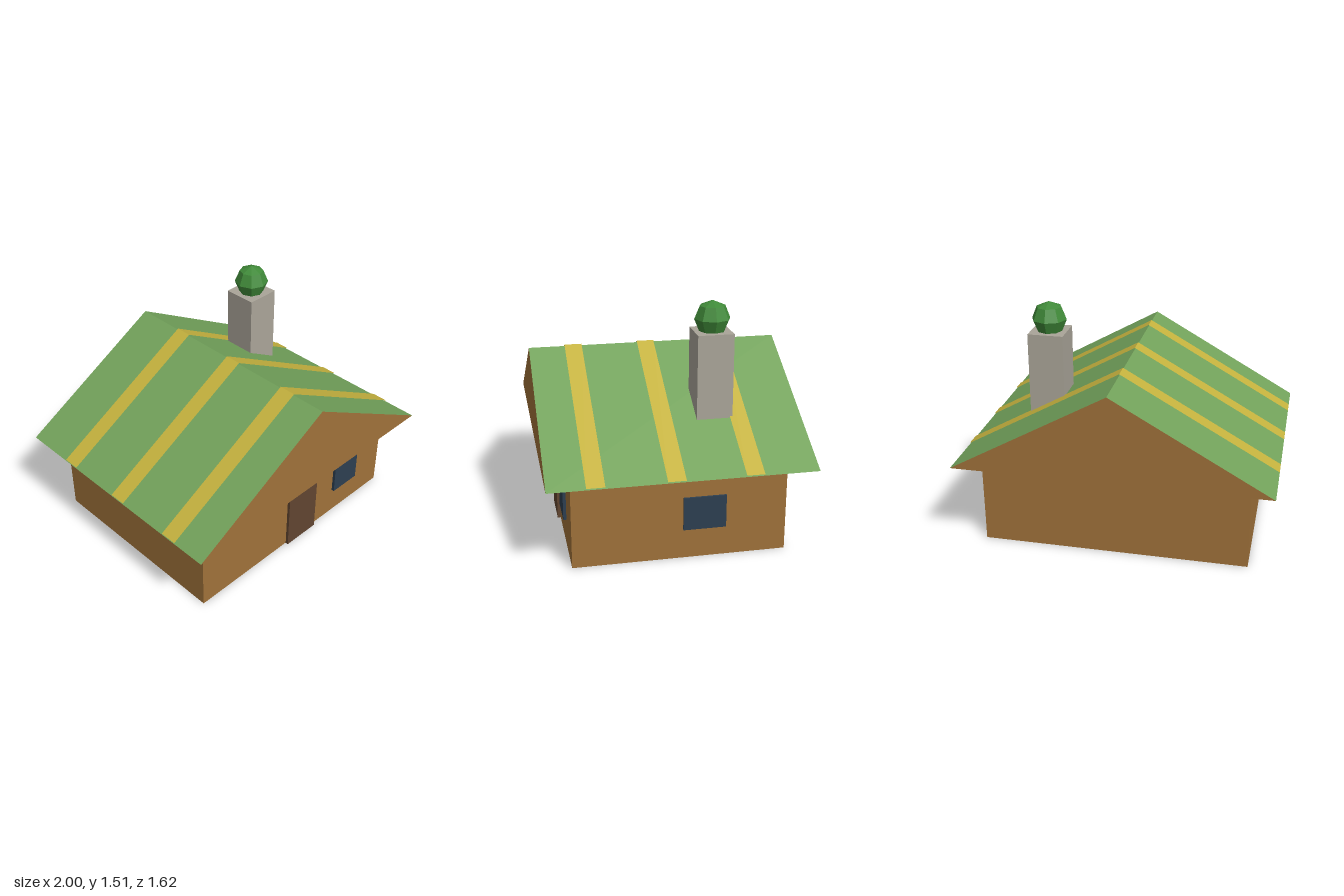
import * as THREE from 'three';

const mat = (name, color, side = THREE.FrontSide) => {
  const m = new THREE.MeshStandardMaterial({ color, side });
  m.name = name;
  return m;
};

// Flat-shaded surface from quads and triangles given as lists of corners
function faces(polygons) {
  const pos = [];
  for (const p of polygons) {
    for (let i = 1; i < p.length - 1; i++) pos.push(...p[0], ...p[i], ...p[i + 1]);
  }
  const g = new THREE.BufferGeometry();
  g.setAttribute('position', new THREE.Float32BufferAttribute(pos, 3));
  g.computeVertexNormals();
  return g;
}

export function createModel() {
  const house = new THREE.Group();
  house.name = 'house';

  const wood = mat('wood', 0xa0723a, THREE.DoubleSide);
  const roofGreen = mat('roof green', 0x73a35b, THREE.DoubleSide);
  const yellow = mat('stripe yellow', 0xc5b23e, THREE.DoubleSide);
  const brown = mat('door brown', 0x614530);
  const blue = mat('window blue', 0x2d3f51);
  const stone = mat('chimney stone', 0xaaa599);
  const leaf = mat('bush green', 0x408a39);
  leaf.flatShading = true;

  const add = (name, geometry, material) => {
    const mesh = new THREE.Mesh(geometry, material);
    mesh.name = name;
    house.add(mesh);
    return mesh;
  };
  // Box from its lowest and highest corners
  const box = (name, a, b, material) => {
    const size = a.map((v, i) => b[i] - v);
    const mesh = add(name, new THREE.BoxGeometry(...size), material);
    mesh.position.set(...a.map((v, i) => (v + b[i]) / 2));
    return mesh;
  };

  const wx = 0.85, wz = 0.66;
  const eave = 0.57, ridge = 1.133, rz = 0.81;

  // Four walls, open below and above
  const corners = [[-wx, wz], [wx, wz], [wx, -wz], [-wx, -wz]];
  add('walls', faces(corners.map(([x, z], i) => {
    const [x2, z2] = corners[(i + 1) % 4];
    return [[x, 0, z], [x2, 0, z2], [x2, eave, z2], [x, eave, z]];
  })), wood);

  // Two slopes meeting at the ridge, from z0 (back) to z1 (front)
  const slopes = (z0, z1, lift) => faces([
    [[-1, eave + lift, z0], [-1, eave + lift, z1], [0, ridge + lift, z1], [0, ridge + lift, z0]],
    [[0, ridge + lift, z0], [0, ridge + lift, z1], [1, eave + lift, z1], [1, eave + lift, z0]],
  ]);
  add('roof', slopes(-rz, rz, 0), roofGreen);
  for (const z of [-0.47, 0, 0.472]) add('roofStripe', slopes(z, z + 0.11, 0.009), yellow);

  // Gable triangles flush with the roof ends
  add('frontGable', faces([[[-1, eave, rz], [1, eave, rz], [0, ridge, rz]]]), wood);
  add('backGable', faces([[[1, eave, -rz], [-1, eave, -rz], [0, ridge, -rz]]]), wood);

  // Door and windows
  box('door', [-0.096, 0, wz + 0.001], [0.168, 0.417, 0.68], brown);
  box('frontWindow', [0.358, 0.19, wz + 0.001], [0.586, 0.4, 0.68], blue);
  box('sideWindow', [wx + 0.001, 0.19, -0.28], [0.864, 0.4, -0.016], blue);

  // Chimney with a round bush on top
  box('chimney', [0.377, 0.73, -0.376], [0.603, 1.322, -0.152], stone);
  add('bush', new THREE.SphereGeometry(0.112, 8, 4), leaf).position.set(0.49, 1.398, -0.265);

  return house;
}
